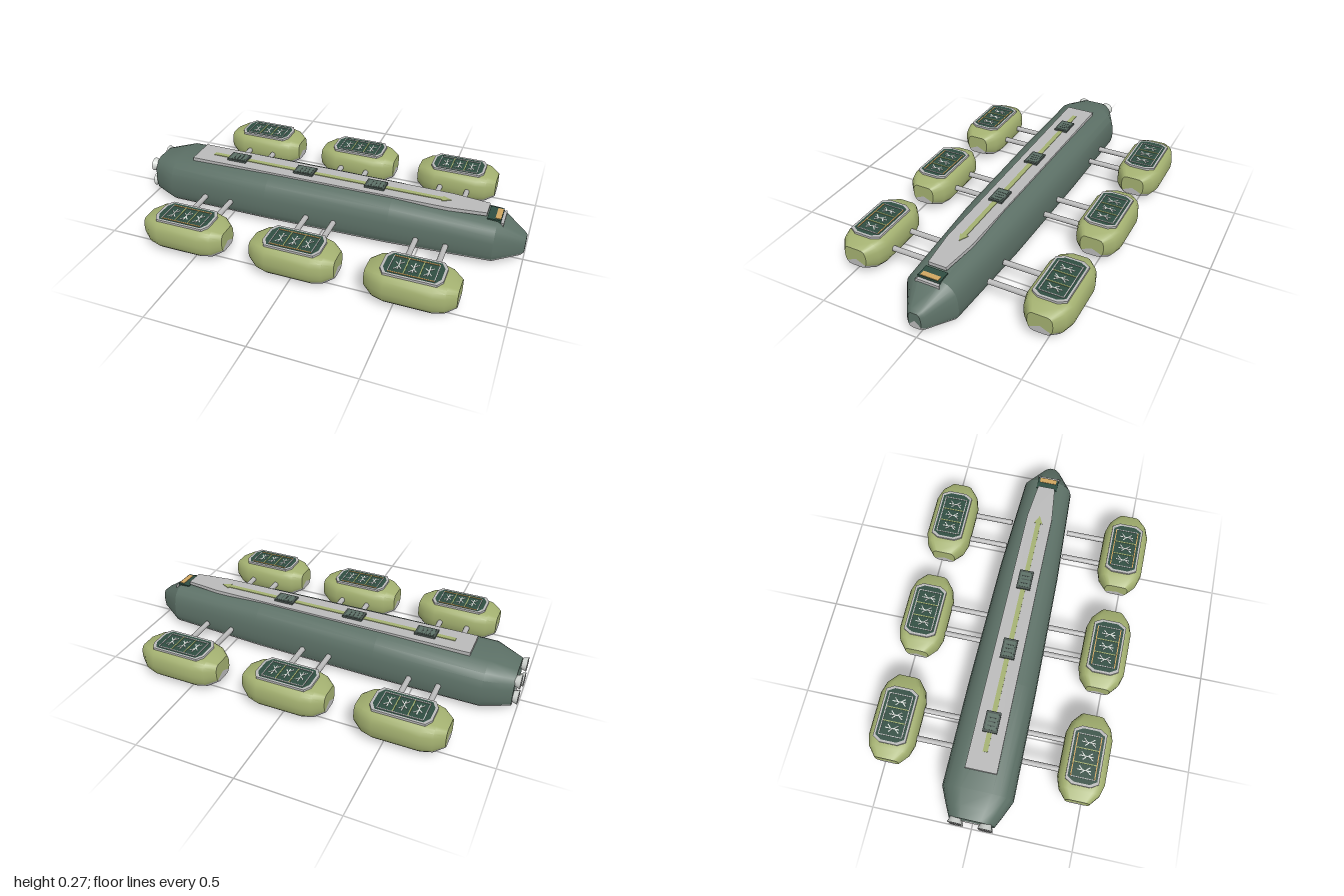
import * as THREE from 'three';
import { toCreasedNormals } from 'three/addons/utils/BufferGeometryUtils.js';

const mat = (name, color) => Object.assign(new THREE.MeshStandardMaterial({ color }), { name });
const M = {
  hull: mat('hull green', 0x5c7066),
  pod: mat('pod green', 0xa3b070),
  grey: mat('light grey', 0xb9b9b9),
  dark: mat('dark green', 0x2f4d41),
  hatch: mat('hatch grey', 0x48544f),
  amber: mat('amber', 0xcfa560),
  pale: mat('pale grey', 0xd6dad6),
};

function add(parent, name, geometry, material, x = 0, y = 0, z = 0) {
  const m = new THREE.Mesh(geometry, material);
  m.name = name;
  m.position.set(x, y, z);
  parent.add(m);
  return m;
}
const box = (parent, name, w, h, d, material, x, y, z) =>
  add(parent, name, new THREE.BoxGeometry(w, h, d), material, x, y, z);

// Loft along x. stations: [x, halfWidth, bottom, top]; half profiles: [z share, height share].
// Group 0 is the upper shell, group 1 the belly.
function loft(stations, upper, lower, capLift, crease) {
  const mirror = (p) => p.map(([z, t]) => [-z, t]).reverse();
  const strips = [
    [...mirror(upper).reverse(), ...[...upper].reverse()],
    [...lower, ...mirror(lower)],
  ];
  const pos = [];
  const geo = new THREE.BufferGeometry();
  strips.forEach((strip, g) => {
    const start = pos.length / 3;
    const P = ([x, w, y0, y1], [z, t]) => [x, y0 + t * (y1 - y0), z * w];
    for (let i = 0; i < strip.length - 1; i++) {
      const [p, q] = [strip[i], strip[i + 1]];
      for (let s = 0; s < stations.length - 1; s++) {
        const [a, b] = [stations[s], stations[s + 1]];
        pos.push(...P(a, p), ...P(a, q), ...P(b, q), ...P(a, p), ...P(b, q), ...P(b, p));
      }
      const first = stations[0], last = stations[stations.length - 1];
      const c = [0, capLift];
      pos.push(...P(first, c), ...P(first, q), ...P(first, p));
      pos.push(...P(last, c), ...P(last, p), ...P(last, q));
    }
    geo.addGroup(start, pos.length / 3 - start, g);
  });
  geo.setAttribute('position', new THREE.Float32BufferAttribute(pos, 3));
  return toCreasedNormals(geo, crease);
}

// Flat plate from an outline of [x, z] points, rising from y = 0
function plate(points, depth, hole) {
  const v = (p) => p.map(([x, z]) => new THREE.Vector2(x, -z));
  const shape = new THREE.Shape(v(points));
  if (hole) shape.holes.push(new THREE.Path(v(hole)));
  return new THREE.ExtrudeGeometry(shape, { depth, bevelEnabled: false }).rotateX(-Math.PI / 2);
}
const octagon = (a, b, c) => [
  [a, b - c], [a - c * 0.6, b], [-a + c * 0.6, b], [-a, b - c],
  [-a, c - b], [-a + c * 0.6, -b], [a - c * 0.6, -b], [a, c - b],
];

// Small branching sprig lying on a panel
function sprig(parent, x, y) {
  const g = new THREE.Group();
  g.name = 'sprig';
  g.position.set(x, y, 0);
  const twigs = [[0, 0, 0.07, 0], [0.009, -0.016, 0.026, -0.8], [-0.009, -0.006, 0.026, 0.8],
    [0.009, 0.018, 0.026, 0.7], [-0.009, 0.026, 0.026, -0.7]];
  for (const [tx, tz, len, turn] of twigs) {
    box(g, 'twig', 0.005, 0.002, len, M.pale, tx, 0, tz).rotation.y = turn;
  }
  parent.add(g);
}

const podGeometry = loft(
  [[-0.213, 0.06, 0.05, 0.15], [-0.165, 0.1, 0.026, 0.171], [-0.11, 0.117, 0.02, 0.177],
    [0.11, 0.117, 0.02, 0.177], [0.165, 0.1, 0.026, 0.171], [0.213, 0.06, 0.05, 0.15]],
  [[0.87, 0.16], [0.97, 0.3], [1, 0.5], [0.98, 0.72], [0.9, 0.87], [0.77, 0.96], [0.58, 1]],
  [[0.87, 0.16], [0.72, 0.04], [0.5, 0]], 0.4, 0.6);

function makePod(x, side) {
  const pod = new THREE.Group();
  pod.name = 'pod';
  pod.position.set(x, 0, side * 0.474);
  add(pod, 'podShell', podGeometry, [M.pod, M.grey]);
  // Planted roof panel with frame and dividers
  add(pod, 'roofPanel', plate(octagon(0.136, 0.076, 0.035), 0.008), M.dark, 0, 0.174);
  add(pod, 'roofFrame', plate(octagon(0.143, 0.082, 0.036), 0.011, octagon(0.131, 0.072, 0.034)),
    M.grey, 0, 0.174);
  for (const s of [-1, 1]) {
    box(pod, 'panelEdge', 0.21, 0.003, 0.005, side > 0 ? M.amber : M.grey, 0, 0.183, s * 0.058);
    box(pod, 'panelEnd', 0.004, 0.003, 0.116, M.grey, s * 0.105, 0.183, 0);
    box(pod, 'divider', 0.005, 0.003, 0.116, M.pod, s * 0.035, 0.183, 0);
  }
  for (const sx of [-0.068, 0, 0.068]) sprig(pod, sx, 0.183);
  return pod;
}

export function createModel() {
  const model = new THREE.Group();
  model.name = 'ship';

  // Hull with grey belly
  add(model, 'hull', loft(
    [[-0.975, 0.112, 0.015, 0.203], [-0.92, 0.14, 0.01, 0.217], [-0.84, 0.177, 0.004, 0.237],
      [-0.3, 0.172, 0, 0.246], [0.35, 0.157, 0.004, 0.248], [0.86, 0.131, 0.017, 0.226],
      [0.985, 0.048, 0.045, 0.152], [1, 0.032, 0.056, 0.14]],
    [[0.95, 0.16], [0.99, 0.28], [1, 0.42], [0.98, 0.6], [0.92, 0.76], [0.8, 0.88], [0.63, 0.96], [0.42, 1]],
    [[0.95, 0.16], [0.85, 0.08], [0.65, 0.025], [0.35, 0]], 0.5, 0.5), [M.hull, M.grey]);

  // Raised deck with stripe
  add(model, 'deck', plate([[-0.75, 0.077], [0.62, 0.066], [0.805, 0.045], [0.805, -0.045],
    [0.62, -0.066], [-0.75, -0.077]], 0.018), M.grey, 0, 0.238);
  add(model, 'deckStripe', plate([[-0.66, 0.012], [0.58, 0.012], [0.58, 0.022], [0.625, 0],
    [0.58, -0.022], [0.58, -0.012], [-0.66, -0.012]], 0.004), M.pod, 0, 0.255);

  // Deck hatches
  for (const x of [-0.515, -0.138, 0.243]) {
    const hatch = new THREE.Group();
    hatch.name = 'hatch';
    hatch.position.x = x;
    box(hatch, 'hatchBase', 0.104, 0.012, 0.072, M.hatch, 0, 0.26, 0);
    box(hatch, 'hatchLid', 0.08, 0.003, 0.054, M.hull, 0, 0.266, 0);
    for (const s of [-1, 0, 1]) box(hatch, 'hatchSlat', 0.005, 0.003, 0.04, M.hatch, s * 0.02, 0.267, 0);
    model.add(hatch);
  }

  // Bridge window at the bow
  const bridge = new THREE.Group();
  bridge.name = 'bridge';
  box(bridge, 'bridgeHousing', 0.065, 0.028, 0.11, M.dark, 0.841, 0.22, 0);
  box(bridge, 'bridgeWindow', 0.026, 0.005, 0.088, M.amber, 0.858, 0.234, 0);
  add(bridge, 'bridgeLip', plate([[0.868, 0.05], [0.888, 0.06], [0.888, -0.06], [0.868, -0.05]], 0.016),
    M.grey, 0, 0.206);
  model.add(bridge);

  // Four rear engine nozzles
  for (const z of [-0.073, 0.073]) {
    for (const y of [0.07, 0.162]) {
      const nozzle = new THREE.CylinderGeometry(0.024, 0.036, 0.034, 16).rotateZ(-Math.PI / 2);
      add(model, 'nozzle', nozzle, M.pale, -0.983, y, z);
      const throat = new THREE.CylinderGeometry(0.028, 0.028, 0.002, 16).rotateZ(-Math.PI / 2);
      add(model, 'nozzleThroat', throat, M.grey, -1, y, z);
    }
  }

  // Side pods on paired struts
  for (const side of [-1, 1]) {
    for (const x of [-0.565, 0.003, 0.57]) {
      model.add(makePod(x, side));
      for (const dx of [-0.073, 0.073]) {
        const strut = new THREE.CylinderGeometry(0.014, 0.014, 0.215, 12).rotateX(Math.PI / 2);
        add(model, 'strut', strut, M.grey, x + dx, 0.095, side * 0.262);
      }
    }
  }
  return model;
}
